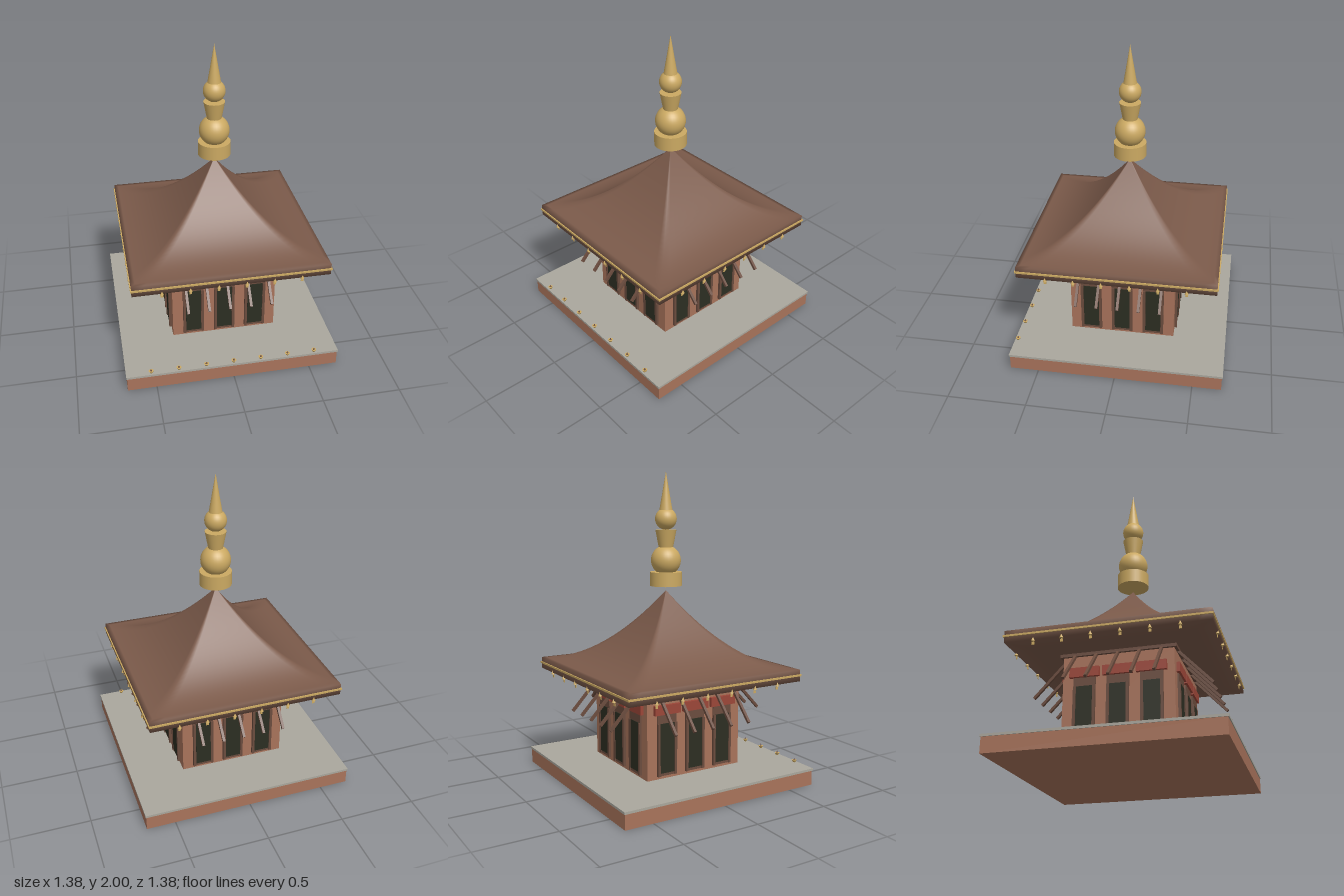
import * as THREE from 'three';

const mat = (name, color) => {
  const m = new THREE.MeshStandardMaterial({ color });
  m.name = name;
  return m;
};

export function createModel() {
  const brick = mat('brick', 0xa8735b);
  const stone = mat('stone', 0xaaa79d);
  const roofBrown = mat('roof brown', 0x7b5a4a);
  const wood = mat('wood', 0x6b4c3e);
  const dark = mat('dark opening', 0x2c2e22);
  const red = mat('red cloth', 0x9c4638);
  const gold = mat('gold', 0xcba962);

  const model = new THREE.Group();
  model.name = 'pavilion';

  const add = (parent, name, geometry, material, x = 0, y = 0, z = 0) => {
    const mesh = new THREE.Mesh(geometry, material);
    mesh.name = name;
    mesh.position.set(x, y, z);
    parent.add(mesh);
    return mesh;
  };
  // Box given by its bottom and top heights
  const box = (parent, name, material, w, y0, y1, d, x = 0, z = 0) =>
    add(parent, name, new THREE.BoxGeometry(w, y1 - y0, d), material, x, (y0 + y1) / 2, z);

  // Plinth, paving and walls
  box(model, 'plinth', brick, 1.37, 0, 0.095, 1.37);
  box(model, 'paving', stone, 1.38, 0.095, 0.11, 1.38);
  box(model, 'walls', brick, 0.686, 0.11, 0.665, 0.686);
  box(model, 'wallCornice', wood, 0.72, 0.658, 0.678, 0.72);

  // Roof: square rings following a concave profile, closed underneath
  add(model, 'roof', roofGeometry(), roofBrown);

  // One side of the building, repeated four times
  for (let k = 0; k < 4; k++) {
    const side = new THREE.Group();
    side.name = 'side';
    side.rotation.y = (k * Math.PI) / 2;
    model.add(side);

    // Doors with frames and red hangings
    for (const x of [-0.206, 0, 0.206]) {
      box(side, 'doorFrame', wood, 0.137, 0.13, 0.52, 0.02, x, 0.343);
      for (const s of [-1, 1]) box(side, 'doorJamb', wood, 0.017, 0.13, 0.465, 0.02, x + s * 0.06, 0.35);
      box(side, 'doorOpening', dark, 0.1, 0.148, 0.465, 0.006, x, 0.354);
      box(side, 'hanging', red, 0.185, 0.522, 0.582, 0.024, x, 0.353);
    }

    // Slanted struts
    const from = new THREE.Vector2(0.345, 0.668), to = new THREE.Vector2(0.555, 0.445);
    const len = from.distanceTo(to);
    for (let i = -2; i <= 2; i++) {
      const strut = add(side, 'strut', new THREE.BoxGeometry(0.017, len, 0.017), wood,
        i * 0.134, (from.y + to.y) / 2, (from.x + to.x) / 2);
      strut.rotation.x = -Math.atan2(to.x - from.x, from.y - to.y);
    }

    // Gilt eave rim and hanging bells
    box(side, 'eaveRim', gold, 1.254, 0.714, 0.726, 0.012, 0, 0.621);
    for (let i = 0; i < 6; i++) {
      const x = (i - 2.5) * 0.175;
      add(side, 'bell', new THREE.ConeGeometry(0.012, 0.032, 10), gold, x, 0.686, 0.617);
      box(side, 'bellStem', gold, 0.003, 0.662, 0.672, 0.003, x, 0.614);
      box(side, 'bellLeaf', gold, 0.016, 0.648, 0.665, 0.003, x, 0.614);
    }
  }

  // Stacked finial
  const finial = new THREE.Group();
  finial.name = 'finial';
  model.add(finial);
  add(finial, 'finialDrum', new THREE.CylinderGeometry(0.104, 0.104, 0.09, 32), gold, 0, 1.315, 0);
  add(finial, 'finialLowerBall', new THREE.SphereGeometry(0.097, 32, 20), gold, 0, 1.435, 0);
  add(finial, 'finialCup', new THREE.CylinderGeometry(0.068, 0.046, 0.115, 32), gold, 0, 1.572, 0);
  add(finial, 'finialUpperBall', new THREE.SphereGeometry(0.07, 32, 20), gold, 0, 1.7, 0);
  add(finial, 'finialSpire', new THREE.ConeGeometry(0.043, 0.25, 32), gold, 0, 1.875, 0);

  // Row of small lamps along the front edge
  for (let i = -3; i <= 3; i++) {
    const lamp = new THREE.Group();
    lamp.name = 'lamp';
    lamp.position.set(i * 0.177, 0.11, 0.67);
    model.add(lamp);
    add(lamp, 'lampBowl', new THREE.CylinderGeometry(0.016, 0.008, 0.015, 12), gold, 0, 0.0075, 0);
    add(lamp, 'lampWick', new THREE.ConeGeometry(0.007, 0.015, 8), wood, 0, 0.022, 0);
  }
  return model;
}

function roofGeometry() {
  const half = 0.62, eave = 0.755, apex = 1.24, under = 0.68, n = 16;
  const profile = [];
  for (let i = 0; i <= 24; i++) {
    const t = Math.max(i / 24, 0.002);
    profile.push([half * t, eave + (apex - eave) * Math.pow(1 - t, 1.95)]);
  }
  profile.push([half, under], [half * 0.8, under], [0.3, under], [0.001, under]);

  const pos = [], index = [], count = 4 * n;
  for (const [r, y] of profile) {
    for (let j = 0; j < count; j++) {
      // Walk round the square: front, right, back, left
      const s = (2 * (j % n)) / n - 1;
      const [x, z] = [[s, 1], [1, -s], [-s, -1], [-1, s]][Math.floor(j / n)];
      pos.push(x * r, y, z * r);
    }
  }
  for (let i = 0; i < profile.length - 1; i++) {
    for (let j = 0; j < count; j++) {
      const a = i * count + j, b = i * count + ((j + 1) % count);
      index.push(a, a + count, b, b, a + count, b + count);
    }
  }
  const g = new THREE.BufferGeometry();
  g.setAttribute('position', new THREE.Float32BufferAttribute(pos, 3));
  g.setIndex(index);
  g.computeVertexNormals();
  return g;
}
